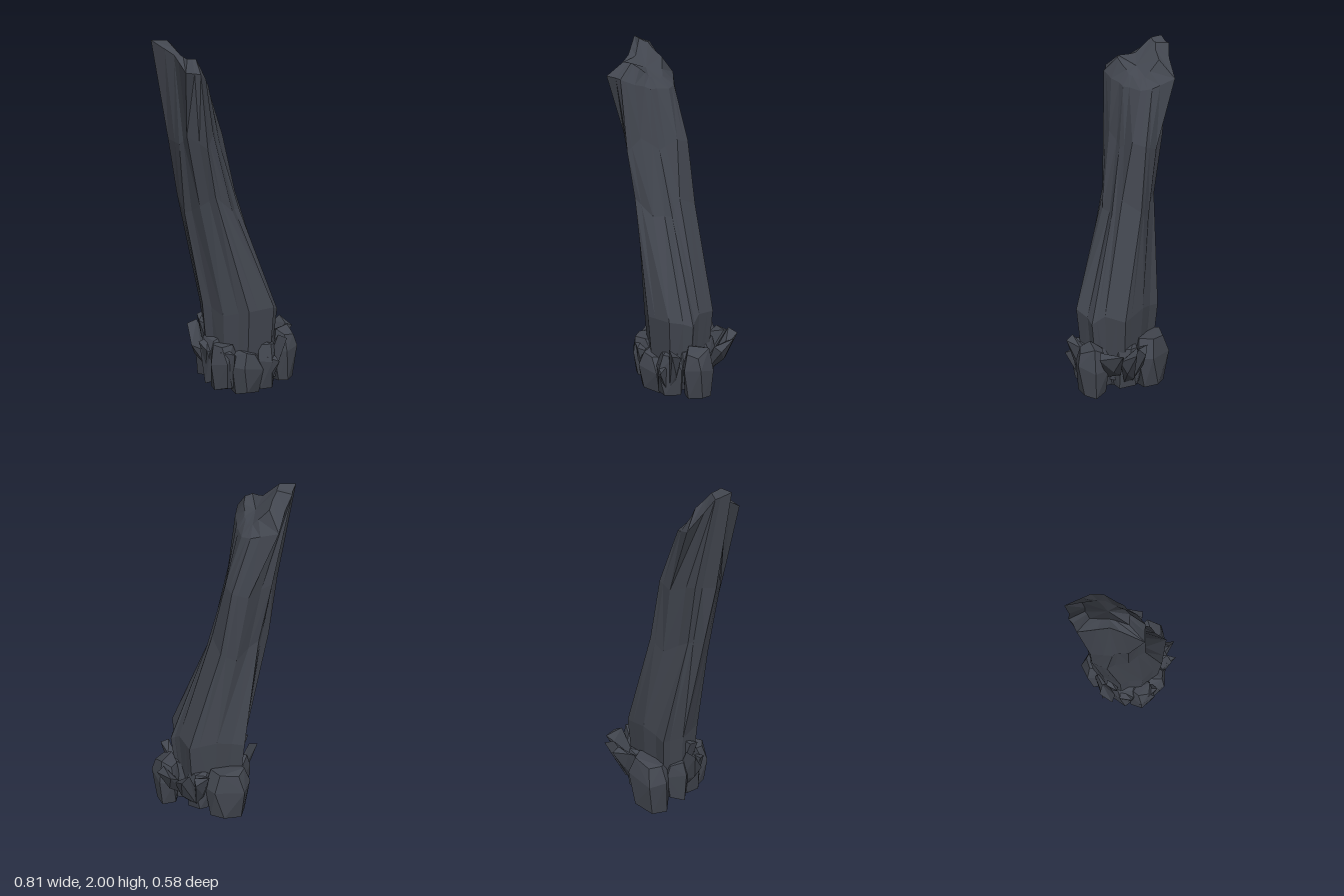
import * as THREE from 'three';
import { ConvexGeometry } from 'three/addons/geometries/ConvexGeometry.js';

const V = (x, y, z) => new THREE.Vector3(x, y, z);

// Small seeded generator, returns -1..1
function seeded(seed) {
  let s = seed * 7919 + 17;
  return () => {
    s = (s * 16807) % 2147483647;
    return (s / 2147483647) * 2 - 1;
  };
}

// Outlines of the leaning pillar as [x, z], running from the right round by the front
const FOOT = [[.24, -.1], [.25, .02], [.26, .09], [.2, .21], [.04, .225], [-.09, .14], [-.16, .02], [-.14, -.1], [-.07, -.205], [.1, -.16]];
const WAIST = [[.055, -.135], [.06, -.02], [.04, .04], [-.03, .12], [-.12, .155], [-.2, .08], [-.265, -.03], [-.26, -.11], [-.18, -.14], [-.05, -.15]];
const NECK = [[-.01, -.14], [-.01, -.06], [-.07, .03], [-.12, .11], [-.19, .165], [-.27, .1], [-.3, .02], [-.325, -.09], [-.24, -.17], [-.1, -.175]];
// Broken rim as [x, y, z]
const RIM = [[-.12, 1.76, -.14], [-.1, 1.75, -.08], [-.13, 1.76, .03], [-.17, 1.79, .11], [-.22, 1.82, .17], [-.31, 1.83, .19], [-.32, 1.92, .02], [-.41, 2, -.11], [-.35, 1.97, -.17], [-.23, 1.8, -.24]];
const CROWN_Y = [1.81, 1.8, 1.82, 1.87, 1.9, 1.9, 1.92, 2, 1.98, 1.9];

function ringCentre(ring) {
  return ring.reduce((c, p) => c.add(p), V(0, 0, 0)).divideScalar(ring.length);
}

// Doubles the corners of a ring, pulling every new one in to form a groove
function groove(ring, depth) {
  const c = ringCentre(ring), out = [];
  ring.forEach((p, i) => {
    const m = p.clone().lerp(ring[(i + 1) % ring.length], 0.4 + 0.25 * (i % 2));
    out.push(p, m.lerp(c, depth * (i % 3)));
  });
  return out;
}

function pillarGeometry() {
  const level = (o, y) => o.map(([x, z]) => V(x, y, z));
  // Staggers a level up and down along the lean of the pillar
  const stagger = (ring, size, step) => ring.map((p, i) => {
    const dy = size * Math.sin(i * step);
    return V(p.x - 0.24 * dy, p.y + dy, p.z);
  });
  const foot = stagger(level(FOOT, 0.5), 0.03, 2.3);
  const base = level(FOOT, 0.1).map((p) => V(0.06 + (p.x - 0.06) * 0.85, 0.1, p.z * 0.85));
  const waist = stagger(level(WAIST, 1.1), 0.06, 1.9);
  const neck = stagger(level(NECK, 1.46), 0.04, 2.7);
  const rim = RIM.map((p) => V(...p));
  const mid = V(-0.22, 1.86, -0.02);
  const crown = rim.map((p, i) => {
    const q = p.clone().lerp(mid, 0.42);
    q.y = CROWN_Y[i];
    return q;
  });
  const rings = [base, foot, waist, neck, rim, crown].map((r, i) => groove(r, [0.03, 0.03, 0.04, 0.04, 0.03, 0.03][i]));
  const n = rings[0].length;
  rings.unshift(Array(n).fill(V(0.05, 0.1, 0)));
  rings.push(Array(n).fill(mid));

  const tris = [];
  for (let j = 0; j < rings.length - 1; j++) {
    for (let i = 0; i < n; i++) {
      const k = (i + 1) % n;
      const a = rings[j][i], b = rings[j][k], c = rings[j + 1][k], d = rings[j + 1][i];
      if (i % 4 < 2) tris.push(a, d, b, b, d, c);
      else tris.push(a, d, c, a, c, b);
    }
  }
  const g = new THREE.BufferGeometry().setFromPoints(tris);
  g.computeVertexNormals(); // unshared corners give flat facets
  return g;
}

// Blocky boulder: hull of three uneven rings
function boulderGeometry([cx, cz, rx, rz, y0, y1, sides], seed) {
  const rnd = seeded(seed), pts = [], h = y1 - y0;
  [[0, 0.8], [0.68, 1.0], [1, 0.72]].forEach(([t, s], row) => {
    for (let i = 0; i < sides; i++) {
      const a = ((i + 0.2 * rnd() + row * 0.15 + seed * 0.37) / sides) * Math.PI * 2;
      const r = s * (1 + 0.07 * rnd());
      const drop = Math.abs(rnd()) * 0.12 * h * (t === 0 ? 1 : -1);
      pts.push(V(cx + Math.cos(a) * rx * r, y0 + h * t + drop, cz + Math.sin(a) * rz * r));
    }
  });
  return new ConvexGeometry(pts);
}

// Slab leaning out of the heap: outer top edge from a to b, root below and inside
function slabGeometry(a, b, root, thick) {
  const p = V(...a), q = V(...b), r = V(...root);
  const inward = V(r.x - (p.x + q.x) / 2, 0, r.z - (p.z + q.z) / 2).normalize().multiplyScalar(thick);
  const along = q.clone().sub(p).multiplyScalar(0.3);
  return new ConvexGeometry([
    p, q,
    p.clone().add(inward).add(V(0, 0.02, 0)),
    q.clone().add(inward).add(V(0, -0.03, 0)),
    p.clone().lerp(q, 0.6).lerp(r, 0.25).add(V(0, -0.06, 0)),
    r.clone().add(along), r.clone().sub(along), r.clone().add(inward),
  ]);
}

export function createModel() {
  const slate = new THREE.MeshStandardMaterial({ color: 0x42464f });
  slate.name = 'dark slate';
  const model = new THREE.Group();
  model.name = 'brokenRockPillar';
  const add = (name, geometry, parent = model) => {
    const mesh = new THREE.Mesh(geometry, slate);
    mesh.name = name;
    parent.add(mesh);
  };

  add('pillar', pillarGeometry());

  // Boulders heaped round the foot: centre x, z, radius x, z, bottom, top, sides
  const boulders = new THREE.Group();
  boulders.name = 'boulders';
  model.add(boulders);
  Object.entries({
    backBoulder: [0.03, -0.185, 0.145, 0.105, 0.0, 0.36, 6],
    backRightBoulder: [-0.08, -0.09, 0.09, 0.09, 0.06, 0.34, 5],
    rightBoulder: [-0.09, 0.02, 0.09, 0.1, 0.05, 0.35, 6],
    frontRightBoulder: [-0.08, 0.13, 0.09, 0.09, 0.04, 0.32, 5],
    frontBoulder: [0.04, 0.175, 0.1, 0.095, 0.02, 0.28, 6],
    frontLeftBoulder: [0.16, 0.16, 0.075, 0.1, 0.02, 0.33, 5],
    leftBoulder: [0.305, 0.085, 0.08, 0.1, 0.03, 0.36, 6],
    leftInnerBoulder: [0.2, 0.07, 0.08, 0.09, 0.04, 0.33, 5],
    backLeftBoulder: [0.17, -0.08, 0.08, 0.1, 0.05, 0.33, 6],
    undersideBoulder: [0.05, 0.02, 0.18, 0.17, 0.03, 0.26, 8],
  }).forEach(([name, spec], i) => add(name, boulderGeometry(spec, i + 3), boulders));

  // Slabs standing out from the heap: two outer corners, root, thickness
  const slabs = new THREE.Group();
  slabs.name = 'slabs';
  model.add(slabs);
  [
    [[0.27, 0.33, -0.23], [0.17, 0.34, -0.21], [0.19, 0.12, -0.13], 0.05],
    [[0.345, 0.36, -0.2], [0.34, 0.3, -0.1], [0.23, 0.12, -0.12], 0.06],
    [[0.405, 0.33, 0.0], [0.38, 0.36, -0.13], [0.27, 0.16, -0.04], 0.05],
    [[0.26, 0.34, 0.25], [0.25, 0.3, 0.17], [0.19, 0.08, 0.18], 0.05],
    [[0.2, 0.22, 0.285], [0.14, 0.24, 0.24], [0.16, 0.06, 0.19], 0.05],
    [[-0.12, 0.28, 0.19], [-0.05, 0.27, 0.23], [-0.06, 0.06, 0.17], 0.06],
    [[-0.17, 0.44, -0.07], [-0.18, 0.42, 0.0], [-0.1, 0.22, -0.04], 0.05],
    [[-0.22, 0.38, -0.1], [-0.22, 0.27, -0.02], [-0.11, 0.14, -0.06], 0.06],
    [[-0.19, 0.3, 0.02], [-0.17, 0.27, 0.1], [-0.11, 0.09, 0.05], 0.06],
  ].forEach((s, i) => add('slab' + (i + 1), slabGeometry(...s), slabs));

  return model;
}
